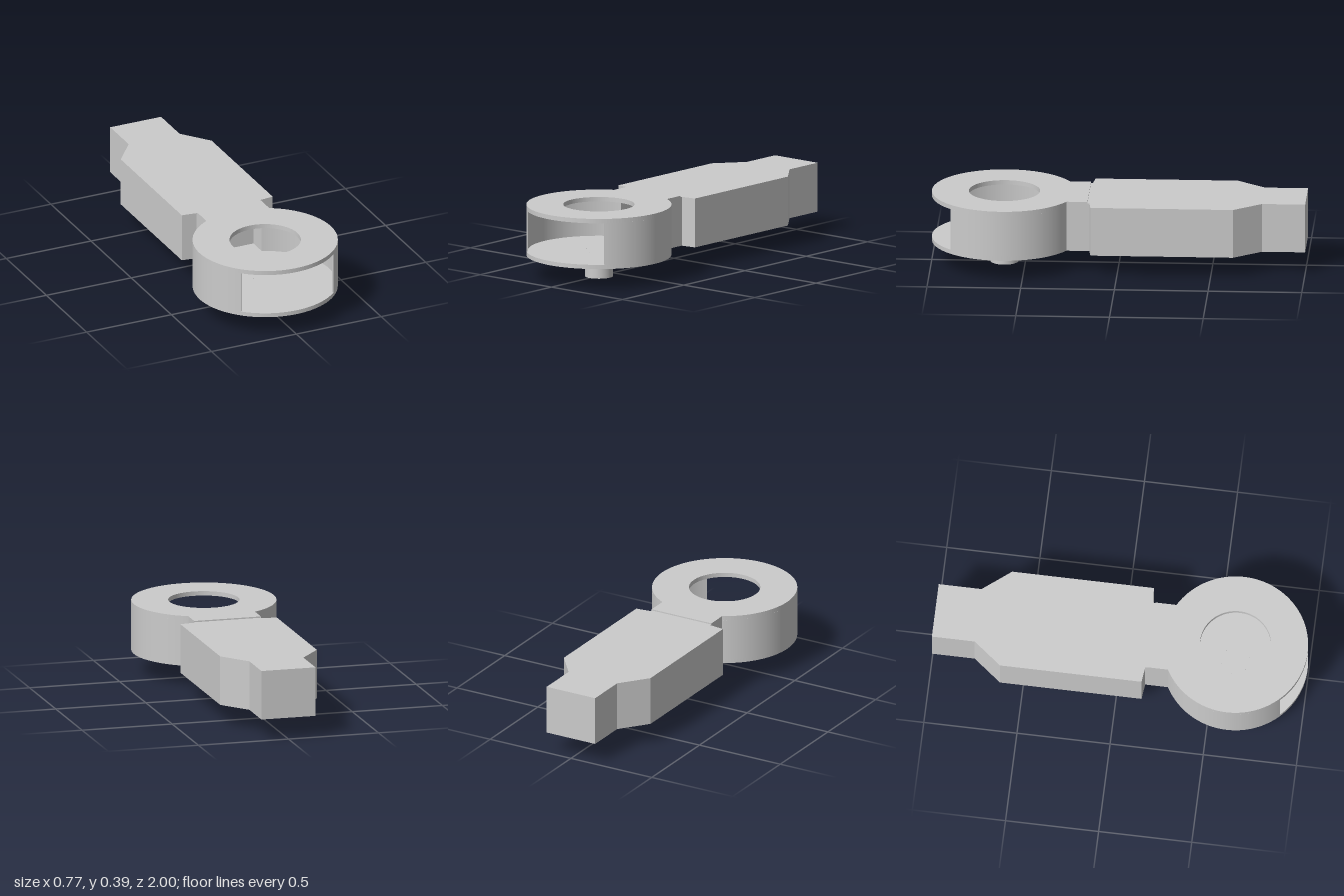
import * as THREE from 'three';

const HEAD_Z = 0.612, R = 0.387, INNER_R = 0.379, HOLE_R = 0.19, PIN_R = 0.075;
const NECK = 0.185, SLOT = 0.145, NECK_END = 0.16;
const BOTTOM = 0.117, FLOOR = 0.14, CEILING = 0.366, TOP = 0.39, TAIL_TOP = 0.383;

// Extrudes a plan shape (x, -z) upwards from y0 to y1
function slab(name, shape, y0, y1, material) {
  const geo = new THREE.ExtrudeGeometry(shape, { depth: y1 - y0, bevelEnabled: false, curveSegments: 64 });
  geo.rotateX(-Math.PI / 2);
  geo.translate(0, y0, 0);
  const mesh = new THREE.Mesh(geo, material);
  mesh.name = name;
  return mesh;
}

// Round plate with a neck and a central hole
function plateShape() {
  const a = Math.acos(NECK / R);
  const s = new THREE.Shape();
  s.moveTo(NECK, -NECK_END);
  s.lineTo(-NECK, -NECK_END);
  s.absarc(0, -HEAD_Z, R, Math.PI - a, Math.PI * 2 + a, false);
  s.closePath();
  s.holes.push(new THREE.Path().absarc(0, -HEAD_Z, HOLE_R, 0, Math.PI * 2, true));
  return s;
}

// Thin curved wall of one side, from the front window round to the neck
function wallShape(side) {
  const outer = Math.acos(NECK / R), inner = Math.acos(SLOT / INNER_R);
  const window = -Math.PI / 4;
  const at = (t) => (side > 0 ? t : Math.PI - t);
  const s = new THREE.Shape();
  s.absarc(0, -HEAD_Z, R, at(window), at(outer), side < 0);
  s.lineTo(side * NECK, -NECK_END);
  s.lineTo(side * SLOT, -NECK_END);
  s.absarc(0, -HEAD_Z, INNER_R, at(inner), at(window), side > 0);
  s.closePath();
  return s;
}

// Straight arm that narrows to a square tongue at the back
function armShape() {
  const half = [[NECK, NECK_END], [NECK, 0.15], [0.268, 0.14], [0.268, -0.62], [0.15, -0.77], [0.15, -1]];
  const points = half.map(([x, z]) => new THREE.Vector2(x, -z));
  const mirrored = half.map(([x, z]) => new THREE.Vector2(-x, -z)).reverse();
  return new THREE.Shape([...points, ...mirrored]);
}

export function createModel() {
  const model = new THREE.Group();
  model.name = 'linkArm';
  const grey = new THREE.MeshStandardMaterial({ color: 0xcccccc });
  const light = new THREE.MeshStandardMaterial({ color: 0xe2e2e2 });

  // Hollow head, open at the front
  const head = new THREE.Group();
  head.name = 'head';
  head.add(slab('bottomPlate', plateShape(), BOTTOM, FLOOR, grey));
  head.add(slab('topPlate', plateShape(), CEILING, TOP, grey));
  head.add(slab('leftWall', wallShape(1), FLOOR, CEILING, grey));
  head.add(slab('rightWall', wallShape(-1), FLOOR, CEILING, grey));
  model.add(head);

  // Light washer filling the floor hole
  const ring = new THREE.Shape().absarc(0, -HEAD_Z, HOLE_R, 0, Math.PI * 2, false);
  ring.holes.push(new THREE.Path().absarc(0, -HEAD_Z, PIN_R, 0, Math.PI * 2, true));
  model.add(slab('washer', ring, BOTTOM, FLOOR, light));

  // Pivot pin below the head
  const pin = new THREE.Mesh(new THREE.CylinderGeometry(PIN_R, PIN_R, FLOOR, 48), grey);
  pin.name = 'pivotPin';
  pin.position.set(0, FLOOR / 2, HEAD_Z);
  model.add(pin);

  model.add(slab('arm', armShape(), BOTTOM, TAIL_TOP, grey));
  return model;
}
